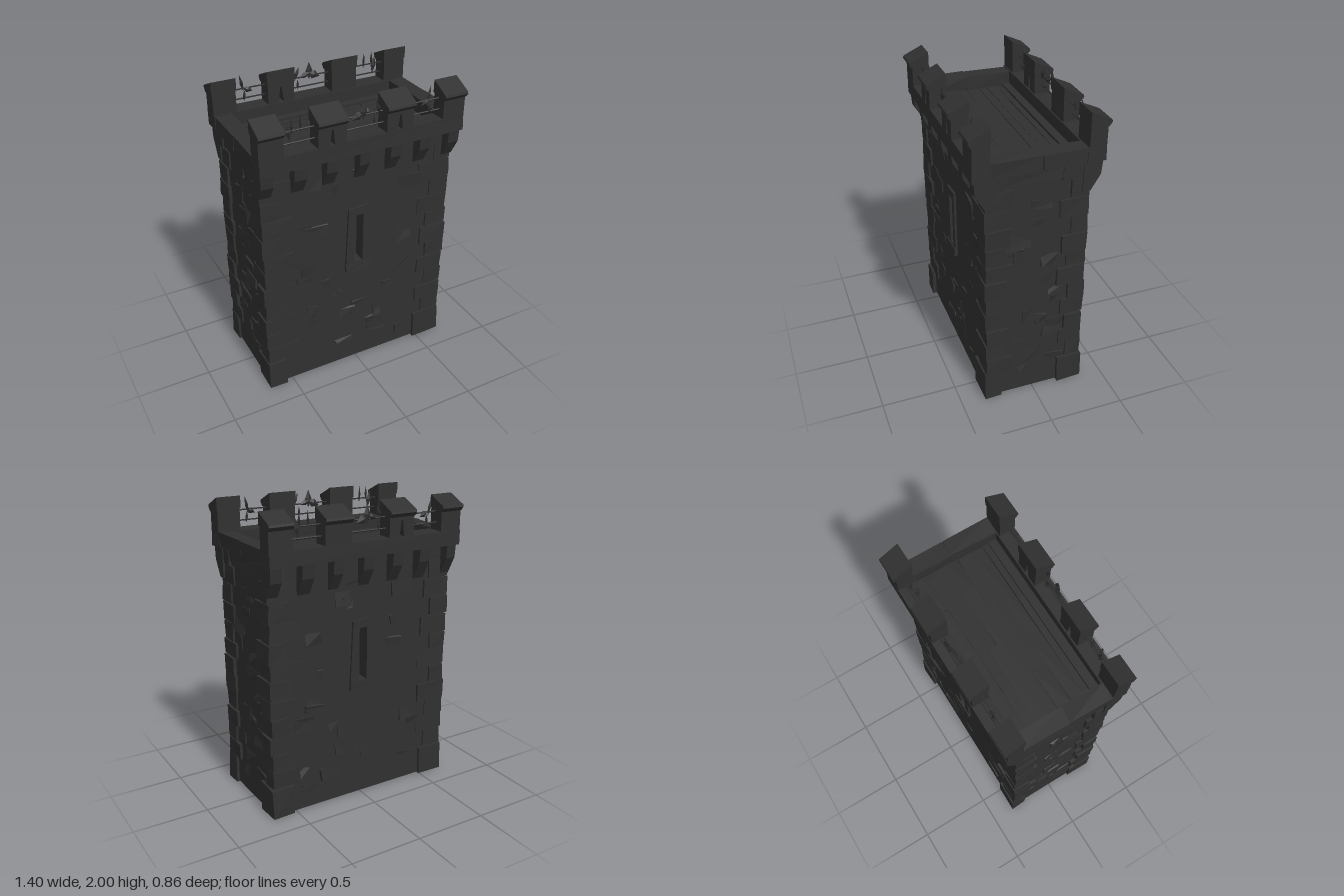
import * as THREE from 'three';

let seed = 7;
const rand = () => (seed = (seed * 16807) % 2147483647) / 2147483647;
const jig = (a) => (rand() * 2 - 1) * a;

const stone = new THREE.MeshStandardMaterial({ color: 0x303030, flatShading: true });
stone.name = 'darkStone';

function add(parent, name, geometry) {
  const mesh = new THREE.Mesh(geometry, stone);
  mesh.name = name;
  parent.add(mesh);
  return mesh;
}

// Hewn block between two corners, each of its eight corners nudged a little
function block(parent, name, [x0, x1], [y0, y1], [z0, z1], rough = 0.005) {
  const g = new THREE.BoxGeometry(x1 - x0, y1 - y0, z1 - z0);
  const p = g.attributes.position;
  const nudges = Array.from({ length: 8 }, () => [jig(rough), jig(rough), jig(rough)]);
  for (let i = 0; i < p.count; i++) {
    const k = (p.getX(i) > 0 ? 1 : 0) + (p.getY(i) > 0 ? 2 : 0) + (p.getZ(i) > 0 ? 4 : 0);
    const n = nudges[k];
    p.setXYZ(i, p.getX(i) + n[0], p.getY(i) + n[1], p.getZ(i) + n[2]);
  }
  g.translate((x0 + x1) / 2, (y0 + y1) / 2, (z0 + z1) / 2);
  g.computeVertexNormals();
  return add(parent, name, g);
}

const shapeOf = (pts) => new THREE.Shape(pts.map(([x, y]) => new THREE.Vector2(x, y)));
const rectPath = (x0, x1, y0, y1) => [[x0, y0], [x1, y0], [x1, y1], [x0, y1]];

// Side profile of (z, y) points swept from x0 to x1
function sweep(parent, name, profile, x0, x1) {
  const g = new THREE.ExtrudeGeometry(shapeOf(profile), { depth: x1 - x0, bevelEnabled: false });
  g.rotateY(-Math.PI / 2).translate(x1, 0, 0);
  return add(parent, name, g);
}

// Front outline, optionally pierced, extruded from z0 to z1
function plate(parent, name, outline, hole, z0, z1) {
  const s = shapeOf(outline);
  if (hole) s.holes.push(shapeOf(hole));
  const g = new THREE.ExtrudeGeometry(s, { depth: z1 - z0, bevelEnabled: false });
  return add(parent, name, g.translate(0, 0, z0));
}

// Shallow tilted stone chips scattered over a wall facing +z
function chips(parent, count, halfWidth, z, avoidWindow) {
  for (let i = 0; i < count; i++) {
    const x = jig(halfWidth), y = 0.12 + ((i + rand()) / count) * 1.42;
    const w = 0.06 + rand() * 0.1, h = 0.04 + rand() * 0.07;
    if (avoidWindow && Math.abs(x) < 0.2 && y > 0.7 && y < 1.33) continue;
    const chip = block(parent, 'stoneChip', [-w / 2, w / 2], [-h / 2, h / 2], [-0.02, 0.003], 0.012);
    chip.position.set(x, y, z);
    chip.rotation.set(jig(0.1), jig(0.06), jig(0.06));
  }
}

function merlon(parent, x0, x1, notched) {
  const m = (x0 + x1) / 2;
  const outline = notched
    ? [[x0, 1.76], [m - 0.02, 1.76], [m - 0.004, 1.88], [m + 0.006, 1.88], [m + 0.02, 1.76], [x1, 1.76], [x1, 1.93], [x0, 1.93]]
    : rectPath(x0, x1, 1.76, 1.93);
  plate(parent, 'merlon', outline, null, 0.302, 0.41);
  sweep(parent, 'merlonCap', [[0.298, 1.92], [0.412, 1.9], [0.432, 1.925], [0.428, 1.94], [0.298, 2]], x0 - 0.005, x1 + 0.005);
}

function spike(parent, x, y, z, w, h, tilt) {
  const s = add(parent, 'ironSpike', new THREE.OctahedronGeometry(1));
  s.scale.set(w, h, 0.014);
  s.position.set(x, y, z);
  s.rotation.z = tilt;
}

// One long side: pierced wall, window, corbels, parapet, merlons and spiked rails
function longSide(parent, openNotches) {
  const slot = rectPath(-0.03, 0.03, 0.84, 1.2);
  plate(parent, 'wall', rectPath(-0.655, 0.655, 0.01, 1.69), slot, 0.24, 0.322);
  const frame = [[-0.095, 0.785], [0.075, 0.78], [0.075, 1.265], [-0.075, 1.25]];
  plate(parent, 'windowFrame', frame, slot, 0.31, 0.337);
  block(parent, 'windowSill', [-0.095, 0.08], [0.775, 0.83], [0.31, 0.345], 0.004);
  chips(parent, 34, 0.44, 0.322, true);

  for (const x of [-0.645, -0.43, -0.22, 0, 0.22, 0.43, 0.645]) {
    const w = 0.038 + jig(0.004), drop = jig(0.012);
    sweep(parent, 'corbel', [[0.28, 1.48 + drop], [0.33, 1.48 + drop], [0.392, 1.59], [0.4, 1.69], [0.28, 1.69]], x - w, x + w);
  }

  block(parent, 'parapet', [-0.695, 0.695], [1.68, 1.778], [0.295, 0.412], 0.004);
  merlon(parent, -0.695, -0.54, false);
  merlon(parent, -0.322, -0.138, openNotches);
  merlon(parent, 0.138, 0.322, true);
  merlon(parent, 0.54, 0.695, false);

  for (const [y, z] of [[1.9, 0.35], [1.83, 0.36]]) {
    const rail = new THREE.CylinderGeometry(0.005, 0.005, 1.2, 5);
    add(parent, 'rail', rail.rotateZ(Math.PI / 2).translate(0, y, z));
  }
  const spikes = [
    [-0.48, 1.89, 0.02, 0.06, 0.15], [-0.465, 1.93, 0.01, 0.05, 0], [-0.4, 1.93, 0.008, 0.06, 0.05],
    [-0.03, 1.9, 0.05, 0.03, 0.4], [0, 1.93, 0.025, 0.06, 0], [0.04, 1.91, 0.05, 0.02, -0.3],
    [0.1, 1.93, 0.014, 0.05, 0.35], [0.085, 1.85, 0.009, 0.035, 0], [0.44, 1.89, 0.035, 0.022, 0.5],
    [0.475, 1.93, 0.012, 0.06, -0.2], [0.465, 1.85, 0.01, 0.04, 0.1],
  ];
  for (const [x, y, w, h, tilt] of spikes) spike(parent, x, y, 0.35 + jig(0.015), w, h, tilt);
}

// Corner stones, long and short in turn, for the corner at (sx, sz)
function quoins(parent, sx, sz) {
  const rows = [0, 0.21, 0.33, 0.45, 0.57, 0.7, 0.82, 0.95, 1.06, 1.19, 1.32, 1.45, 1.58, 1.68];
  const span = (s, inner, outer) => (s > 0 ? [inner, outer] : [-outer, -inner]);
  for (let i = 0; i + 1 < rows.length; i++) {
    const long = i % 2 === (sx * sz > 0 ? 0 : 1);
    const lx = (long ? 0.21 : 0.14) + jig(0.025), lz = (long ? 0.12 : 0.17) + jig(0.02);
    const ox = (i === 0 ? 0.68 : 0.675) + jig(0.006), oz = (i === 0 ? 0.343 : 0.332) + jig(0.005);
    block(parent, 'cornerStone', span(sx, ox - lx, ox), [rows[i] + 0.004, rows[i + 1] - 0.002], span(sz, oz - lz, oz), 0.004);
  }
}

export function createModel() {
  seed = 7;
  const tower = new THREE.Group();
  tower.name = 'castleWall';
  block(tower, 'core', [-0.658, 0.658], [0.01, 1.66], [-0.25, 0.25], 0);

  for (const back of [false, true]) {
    const side = new THREE.Group();
    side.name = back ? 'backSide' : 'frontSide';
    side.rotation.y = back ? Math.PI : 0;
    longSide(side, !back);
    tower.add(side);
  }

  // Short ends: loose stones and a parapet in two lengths
  for (const s of [-1, 1]) {
    const end = new THREE.Group();
    end.name = s > 0 ? 'leftEnd' : 'rightEnd';
    end.rotation.y = (s * Math.PI) / 2;
    chips(end, 20, 0.15, 0.658, false);
    block(end, 'endCornice', [-0.22, 0.22], [1.6, 1.69], [0.6, 0.672], 0.004);
    block(end, 'endParapet', [-0.31, 0.02], [1.68, 1.775], [0.58, 0.692], 0.006);
    block(end, 'endParapet', [0.02, 0.31], [1.685, 1.775], [0.58, 0.692], 0.006);
    tower.add(end);
    for (const z of [-1, 1]) quoins(tower, s, z);
  }

  // Walkway slabs, long and slightly uneven
  const joints = [-0.3, -0.2, -0.13, -0.07, 0.02, 0.11, 0.2, 0.3];
  for (let i = 0; i + 1 < joints.length; i++) {
    const split = jig(0.4);
    for (const xs of [[-0.59, split], [split, 0.59]]) {
      block(tower, 'walkwaySlab', xs, [1.63, 1.672], [joints[i], joints[i + 1]], 0.005);
    }
  }
  return tower;
}
